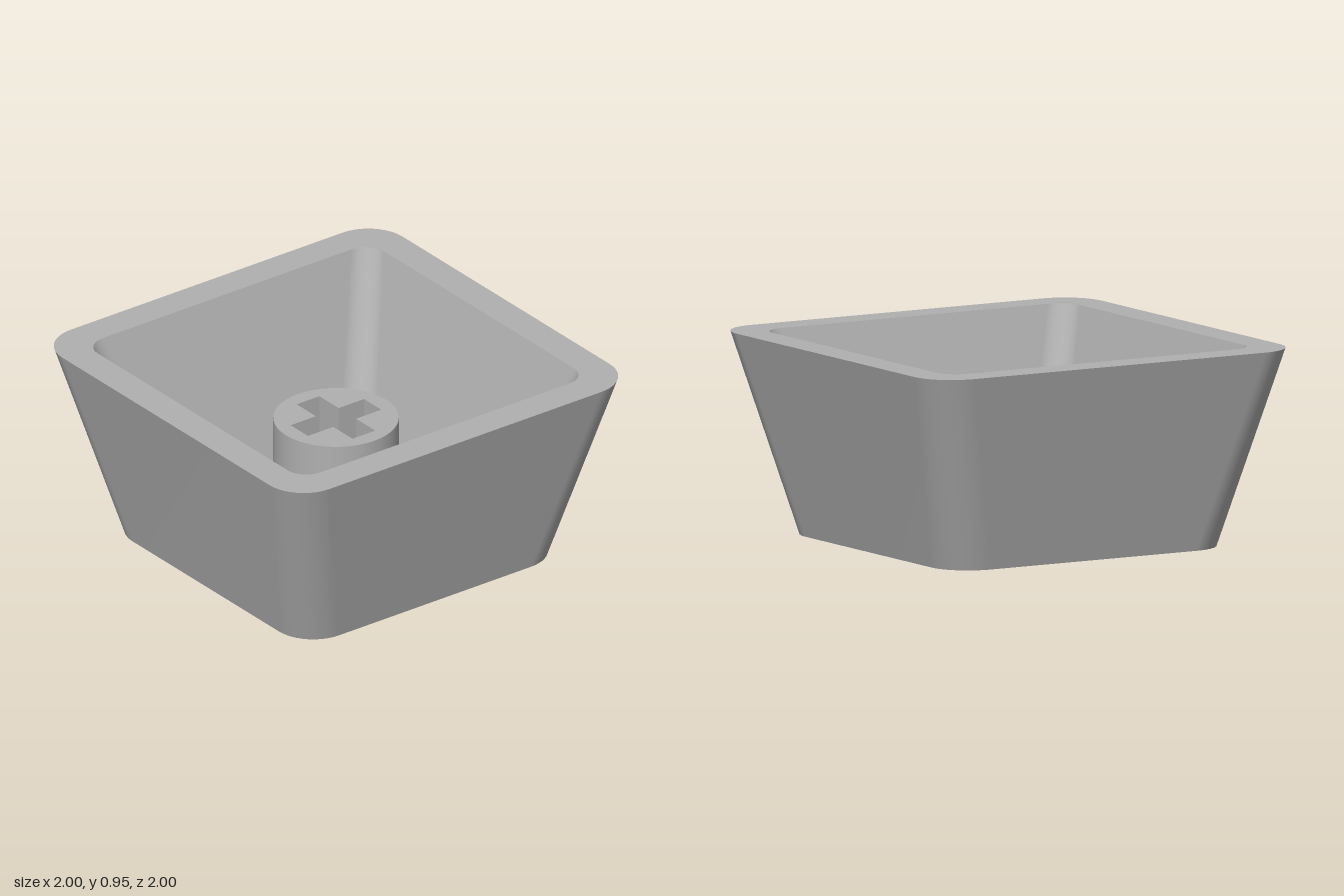
import * as THREE from 'three';

const plastic = new THREE.MeshStandardMaterial({ color: 0xb0b0b0 });
plastic.name = 'grey plastic';

// Counter-clockwise outline of a rounded rectangle, given half sizes
function roundedRect(hx, hz, r, steps = 12) {
  const points = [];
  [[1, 1], [-1, 1], [-1, -1], [1, -1]].forEach(([sx, sz], corner) => {
    for (let i = 0; i <= steps; i++) {
      const a = (corner + i / steps) * Math.PI / 2;
      points.push(new THREE.Vector2(sx * (hx - r) + r * Math.cos(a), sz * (hz - r) + r * Math.sin(a)));
    }
  });
  return points;
}

// Wall between two matching outlines, facing outward or inward
function wall(low, lowY, high, highY, inward = false, sharp = false) {
  const n = low.length, positions = [], index = [];
  low.forEach((p) => positions.push(p.x, lowY, -p.y));
  high.forEach((p) => positions.push(p.x, highY, -p.y));
  for (let i = 0; i < n; i++) {
    const j = (i + 1) % n;
    if (inward) index.push(i, n + j, j, i, n + i, n + j);
    else index.push(i, j, n + j, i, n + j, n + i);
  }
  let geometry = new THREE.BufferGeometry();
  geometry.setAttribute('position', new THREE.Float32BufferAttribute(positions, 3));
  geometry.setIndex(index);
  if (sharp) geometry = geometry.toNonIndexed();
  geometry.computeVertexNormals();
  return geometry;
}

// Flat horizontal face with an optional hole, facing up or down
function face(outline, hole, y, up = true) {
  const shape = new THREE.Shape(outline);
  if (hole) shape.holes.push(new THREE.Path(hole));
  return new THREE.ShapeGeometry(shape).rotateX(up ? -Math.PI / 2 : Math.PI / 2).translate(0, y, 0);
}

export function createModel() {
  const model = new THREE.Group();
  model.name = 'hollowCap';
  const add = (name, geometry) => {
    const mesh = new THREE.Mesh(geometry, plastic);
    mesh.name = name;
    model.add(mesh);
  };

  const topY = 0.95, floorY = 0.16, stemY = 0.65, grooveY = 0.06;

  // Tapered shell, open at the top
  const outerLow = roundedRect(0.765, 0.765, 0.2);
  const outerHigh = roundedRect(1, 1, 0.2);
  const innerLow = roundedRect(0.575, 0.575, 0.12);
  const innerHigh = roundedRect(0.842, 0.842, 0.11);
  add('outerWall', wall(outerLow, 0, outerHigh, topY));
  add('innerWall', wall(innerLow, floorY, innerHigh, topY, true));
  add('rim', face(outerHigh, innerHigh, topY));
  add('cavityFloor', face(innerLow, null, floorY));

  // Round stem with a cross-shaped socket
  const a = 0.067, b = 0.216;
  const cross = [[b, -a], [b, a], [a, a], [a, b], [-a, b], [-a, a], [-b, a], [-b, -a],
    [-a, -a], [-a, -b], [a, -b], [a, -a]].map(([x, y]) => new THREE.Vector2(x, y));
  const circle = roundedRect(0.294, 0.294, 0.294, 16);
  add('stemWall', new THREE.CylinderGeometry(0.294, 0.294, stemY - floorY, 64, 1, true)
    .translate(0, (stemY + floorY) / 2, 0));
  add('stemTop', face(circle, cross, stemY));
  add('stemSocket', wall(cross, floorY, cross, stemY, true, true));

  // Underside with a shallow rectangular groove around a flush island
  const grooveOuter = roundedRect(0.31, 0.46, 0.06, 6);
  const grooveInner = roundedRect(0.21, 0.36, 0.04, 6);
  add('underside', face(outerLow, grooveOuter, 0, false));
  add('grooveOuterWall', wall(grooveOuter, 0, grooveOuter, grooveY, true));
  add('grooveInnerWall', wall(grooveInner, 0, grooveInner, grooveY));
  add('grooveBed', face(grooveOuter, grooveInner, grooveY, false));
  add('grooveIsland', face(grooveInner, null, 0, false));

  return model;
}
